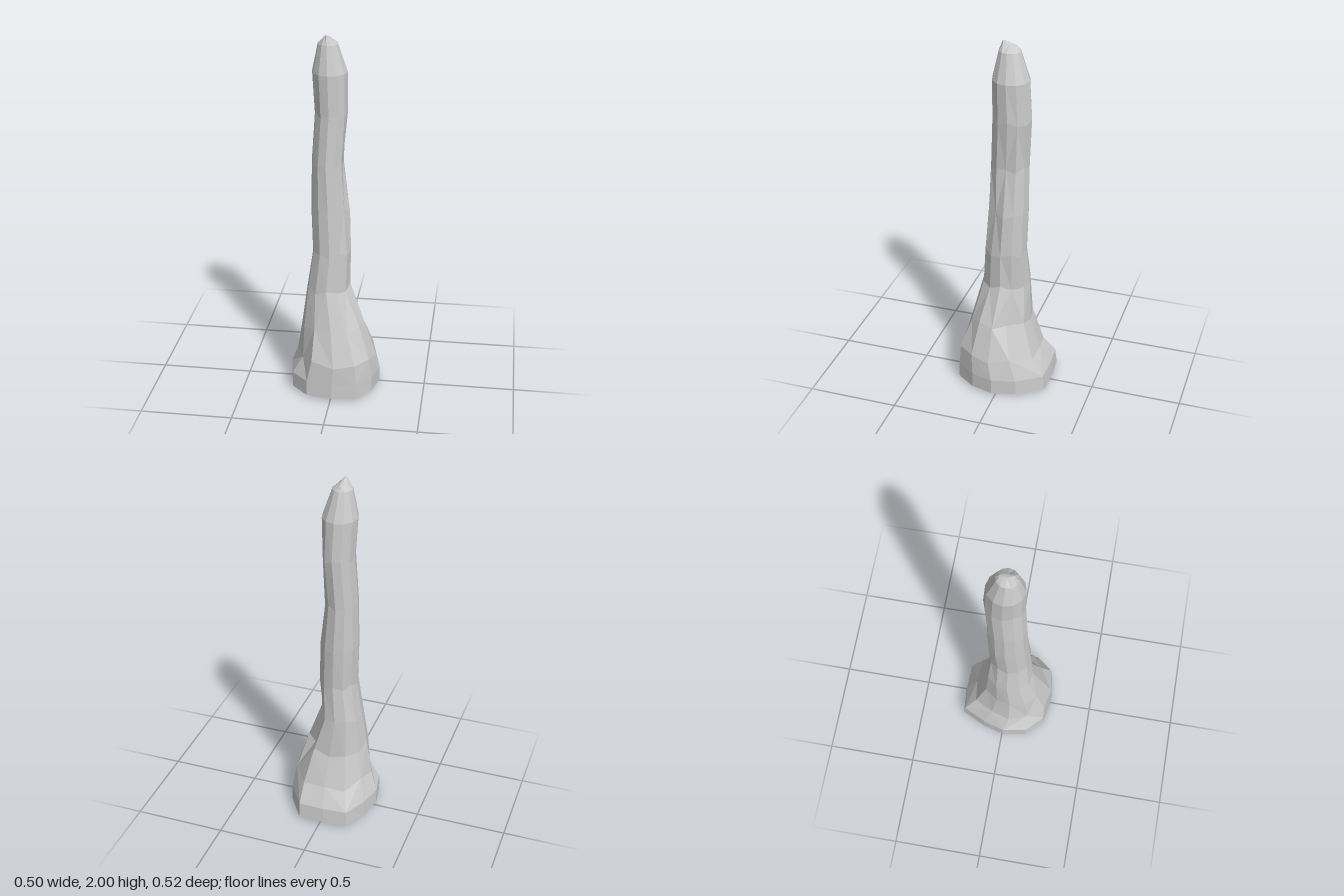
import * as THREE from 'three';

// Base outline (x, z), clockwise seen from above, starting at the back
const OUTLINE = [[-0.02, -0.265], [0.125, -0.26], [0.22, -0.12], [0.253, 0.015], [0.22, 0.14], [0.145, 0.245],
  [0.01, 0.262], [-0.135, 0.237], [-0.23, 0.145], [-0.255, 0.005], [-0.22, -0.12], [-0.155, -0.255]];
const N = OUTLINE.length;

// Cross-sections: height, x min, x max, z min, z max, weight of the base outline
const RINGS = [
  [0.015, -0.25, 0.25, -0.26, 0.265, 1],
  [0.10, -0.25, 0.25, -0.25, 0.26, 1],
  [0.21, -0.21, 0.23, -0.19, 0.255, 0.8],
  [0.39, -0.18, 0.165, -0.13, 0.2, 0.5],
  [0.60, -0.155, 0.08, -0.115, 0.147, 0.3],
  [0.81, -0.125, 0.083, -0.1, 0.13, 0.2],
  [1.05, -0.135, 0.075, -0.108, 0.115, 0],
  [1.31, -0.13, 0.045, -0.107, 0.105, 0],
  [1.58, -0.115, 0.06, -0.123, 0.092, 0],
  [1.80, -0.127, 0.06, -0.108, 0.093, 0],
  [1.95, -0.095, 0.01, -0.057, 0.06, 0],
  [1.985, -0.06, -0.035, -0.042, 0.042, 0],
];

// Shallow bark grooves: ring -> [point index, scale]
const GROOVES = { 2: [8, 0.9], 3: [2, 0.75], 4: [2, 0.85], 6: [4, 0.86], 7: [3, 0.88], 8: [2, 0.9] };

function ringPoints([y, x0, x1, z0, z1, w], r) {
  return OUTLINE.map(([ox, oz], i) => {
    const a = (i / N) * Math.PI * 2;
    let u = THREE.MathUtils.lerp(Math.sin(a), ox / 0.255, w);
    let v = THREE.MathUtils.lerp(-Math.cos(a), oz / 0.265, w);
    const g = GROOVES[r];
    if (g && g[0] === i) { u *= g[1]; v *= g[1]; }
    const lift = r > 1 && r < 9 ? 0.015 * Math.sin(i * 2.4 + r * 1.7) : 0;
    return [(x0 + x1) / 2 + u * (x1 - x0) / 2, y + lift, (z0 + z1) / 2 + v * (z1 - z0) / 2];
  });
}

export function createModel() {
  const group = new THREE.Group();
  const rings = RINGS.map(ringPoints);
  // Pointed, front-leaning tip
  rings[rings.length - 1].forEach((p) => { p[1] = 1.985 + p[2] * 0.3; });

  const verts = [];
  const tri = (...pts) => pts.forEach((p) => verts.push(...p));
  for (let i = 0; i < N; i++) {
    const j = (i + 1) % N;
    for (let r = 0; r < rings.length - 1; r++) {
      const a = rings[r][i], b = rings[r][j], c = rings[r + 1][i], d = rings[r + 1][j];
      if ((i + r) % 2) { tri(a, c, b); tri(b, c, d); }
      else { tri(a, d, b); tri(a, c, d); }
    }
    // Underside and tip caps
    tri([0, 0, 0], rings[0][i], rings[0][j]);
    const top = rings[rings.length - 1];
    tri([-0.05, 2, 0.03], top[j], top[i]);
  }

  const geo = new THREE.BufferGeometry();
  geo.setAttribute('position', new THREE.Float32BufferAttribute(verts, 3));
  geo.computeVertexNormals();
  const column = new THREE.Mesh(geo, new THREE.MeshStandardMaterial({ color: 0xcccccc, flatShading: true }));
  column.name = 'stalagmite';
  group.add(column);
  return group;
}
